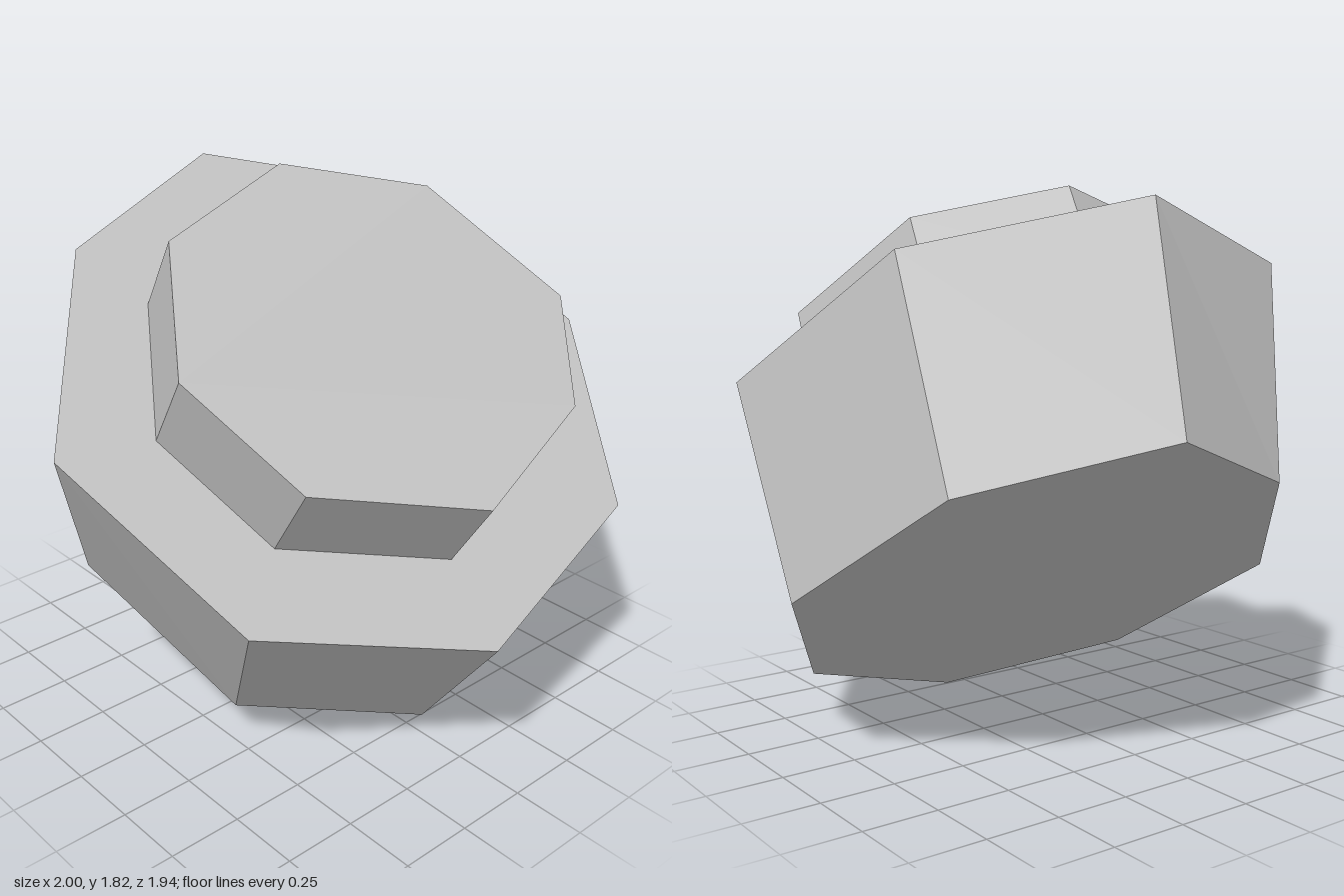
import * as THREE from 'three';

// Every ring lies on a tilted plane, so a ring is [x, z] corners plus a plane height.
const onPlane = (height, ring) =>
  ring.map(([x, z]) => new THREE.Vector3(x, height + 0.15 * x - 0.7187 * z, z));

// Closed faceted prism between an upper and a lower ring (counter-clockwise from above).
function prism(upper, lower, flipped = []) {
  const n = upper.length, p = [];
  const tri = (...corners) => corners.forEach((v) => p.push(v.x, v.y, v.z));
  for (let i = 0; i < n; i++) {
    const j = (i + 1) % n;
    if (flipped.includes(i)) {
      tri(upper[i], lower[i], upper[j]);
      tri(lower[i], lower[j], upper[j]);
    } else {
      tri(upper[i], lower[i], lower[j]);
      tri(upper[i], lower[j], upper[j]);
    }
    if (i > 0 && i < n - 1) {
      tri(upper[0], upper[i], upper[j]);
      tri(lower[0], lower[j], lower[i]);
    }
  }
  const geometry = new THREE.BufferGeometry();
  geometry.setAttribute('position', new THREE.Float32BufferAttribute(p, 3));
  geometry.computeVertexNormals();
  return geometry;
}

export function createModel() {
  const group = new THREE.Group();
  group.name = 'steppedOctagonBlock';

  const grey = new THREE.MeshStandardMaterial({ color: 0xc0c0c0, flatShading: true });
  grey.name = 'plain grey';

  const add = (name, geometry) => {
    const mesh = new THREE.Mesh(geometry, grey);
    mesh.name = name;
    group.add(mesh);
  };

  // Wide body, slightly irregular octagons
  const bodyTop = onPlane(1.285, [
    [-1, 0], [-0.78, 0.615], [-0.11, 0.97], [0.617, 0.848],
    [0.97, 0.32], [0.75, -0.3], [0.08, -0.66], [-0.555, -0.52],
  ]);
  const bodyBottom = onPlane(0.353, [
    [-0.69, -0.37], [-0.5, 0.187], [0.073, 0.505], [0.693, 0.385],
    [1, -0.093], [0.8, -0.65], [0.23, -0.972], [-0.29, -0.83],
  ]);
  add('body', prism(bodyTop, bodyBottom, [2]));

  // Narrow cap, extruded straight along the tilted axis
  const capTop = onPlane(1.68, [
    [-0.725, 0.255], [-0.59, 0.645], [-0.095, 0.905], [0.405, 0.795],
    [0.653, 0.515], [0.487, 0.048], [0.035, -0.19], [-0.485, -0.1],
  ]);
  const toBody = new THREE.Vector3(0.04, -0.255, -0.186);
  add('cap', prism(capTop, capTop.map((v) => v.clone().add(toBody))));

  return group;
}
